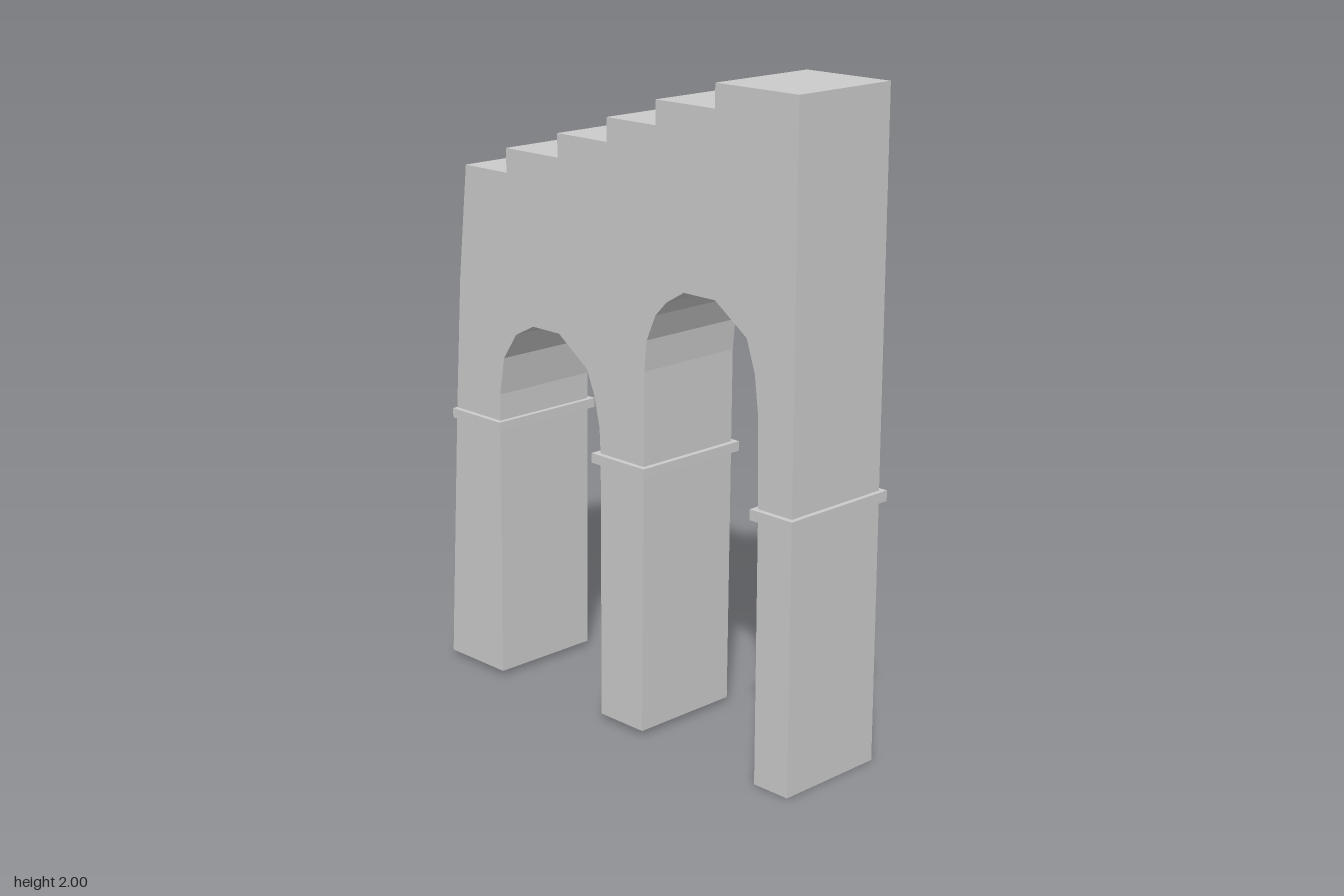
import * as THREE from 'three';

const HALF = 0.183; // half thickness of the wall
const BAND = 0.2;   // half width of the mouldings

const material = new THREE.MeshStandardMaterial({ color: 0xcccccc, flatShading: true, side: THREE.DoubleSide });

// Profile runs as [z, y] points
const frontEdge = [[0.735, 0], [0.735, 2]];
const rearEdge = [[-0.63, 1.64], [-0.67, 1.28], [-0.7, 0.85], [-0.75, 0.015]];
const lowArch = [
  [-0.5, 0.015], [-0.49, 0.84], [-0.488, 0.94], [-0.467, 1.06], [-0.408, 1.145], [-0.329, 1.185],
  [-0.212, 1.185], [-0.09, 1.1], [-0.058, 1.023], [-0.037, 0.93], [-0.033, 0.84], [-0.036, 0.015],
];
const highArch = [
  [0.143, 0.015], [0.151, 0.83], [0.154, 1.14], [0.164, 1.235], [0.2, 1.315], [0.244, 1.36], [0.313, 1.4],
  [0.435, 1.4], [0.557, 1.315], [0.589, 1.22], [0.604, 1.1], [0.608, 0.8], [0.607, 0],
];

// Stepped top, falling towards the rear
function stepPoints() {
  const ends = [0.43, 0.2, 0, -0.21, -0.44, -0.63];
  const heights = [2, 1.93, 1.858, 1.787, 1.715, 1.64];
  const points = [[0.735, 2]];
  ends.forEach((z, i) => {
    points.push([z, heights[i]]);
    if (i < ends.length - 1) points.push([z, heights[i + 1]]);
  });
  return points;
}

function addMesh(parent, name, geometry) {
  const mesh = new THREE.Mesh(geometry, material);
  mesh.name = name;
  parent.add(mesh);
  return mesh;
}

// Surface swept across the wall thickness along a profile run
function sweep(points) {
  const positions = [];
  for (let i = 0; i < points.length - 1; i++) {
    const [az, ay] = points[i];
    const [bz, by] = points[i + 1];
    const a = [HALF, ay, az], b = [HALF, by, bz], c = [-HALF, by, bz], d = [-HALF, ay, az];
    positions.push(...a, ...b, ...c, ...a, ...c, ...d);
  }
  const geometry = new THREE.BufferGeometry();
  geometry.setAttribute('position', new THREE.Float32BufferAttribute(positions, 3));
  geometry.computeVertexNormals();
  return geometry;
}

// Flat side of the wall, facing +x (side 1) or -x (side -1)
function sidePanel(outline, side) {
  const shape = new THREE.Shape(outline.map(([z, y]) => new THREE.Vector2(-side * z, y)));
  return new THREE.ShapeGeometry(shape).rotateY(side * Math.PI / 2).translate(side * HALF, 0, 0);
}

// Moulding extruded upwards from a plan of [x, z] points
function moulding(plan, hole, y, height) {
  const toVectors = (list) => list.map(([x, z]) => new THREE.Vector2(x, -z));
  const shape = new THREE.Shape(toVectors(plan));
  if (hole) shape.holes.push(new THREE.Path(toVectors(hole)));
  return new THREE.ExtrudeGeometry(shape, { depth: height, bevelEnabled: false })
    .rotateX(-Math.PI / 2).translate(0, y, 0);
}

const rect = (w, z0, z1) => [[-w, z0], [w, z0], [w, z1], [-w, z1]];

export function createModel() {
  const model = new THREE.Group();
  model.name = 'steppedArchWall';

  // Wall shell, open at the rear and under the legs
  const steps = stepPoints();
  const outline = [frontEdge[0], ...steps, ...rearEdge.slice(1), ...lowArch, ...highArch];
  addMesh(model, 'leftWall', sidePanel(outline, 1));
  addMesh(model, 'rightWall', sidePanel(outline, -1));
  addMesh(model, 'frontFace', sweep(frontEdge));
  addMesh(model, 'steps', sweep(steps));
  addMesh(model, 'lowArch', sweep(lowArch));
  addMesh(model, 'highArch', sweep(highArch));

  // Mouldings around the legs
  addMesh(model, 'frontMoulding', moulding(rect(BAND, 0.75, 0.592), rect(HALF, 0.735, 0.608), 0.803, 0.032));
  addMesh(model, 'middleMoulding', moulding(rect(BAND, 0.168, -0.055), rect(HALF, 0.151, -0.034), 0.822, 0.03));

  // Rear moulding leaves the open end clear
  const rearPlan = [
    [-BAND, -0.7], [-BAND, -0.474], [BAND, -0.474], [BAND, -0.7],
    [HALF, -0.7], [HALF, -0.49], [-HALF, -0.49], [-HALF, -0.7],
  ];
  addMesh(model, 'rearMoulding', moulding(rearPlan, null, 0.825, 0.03));
  return model;
}
